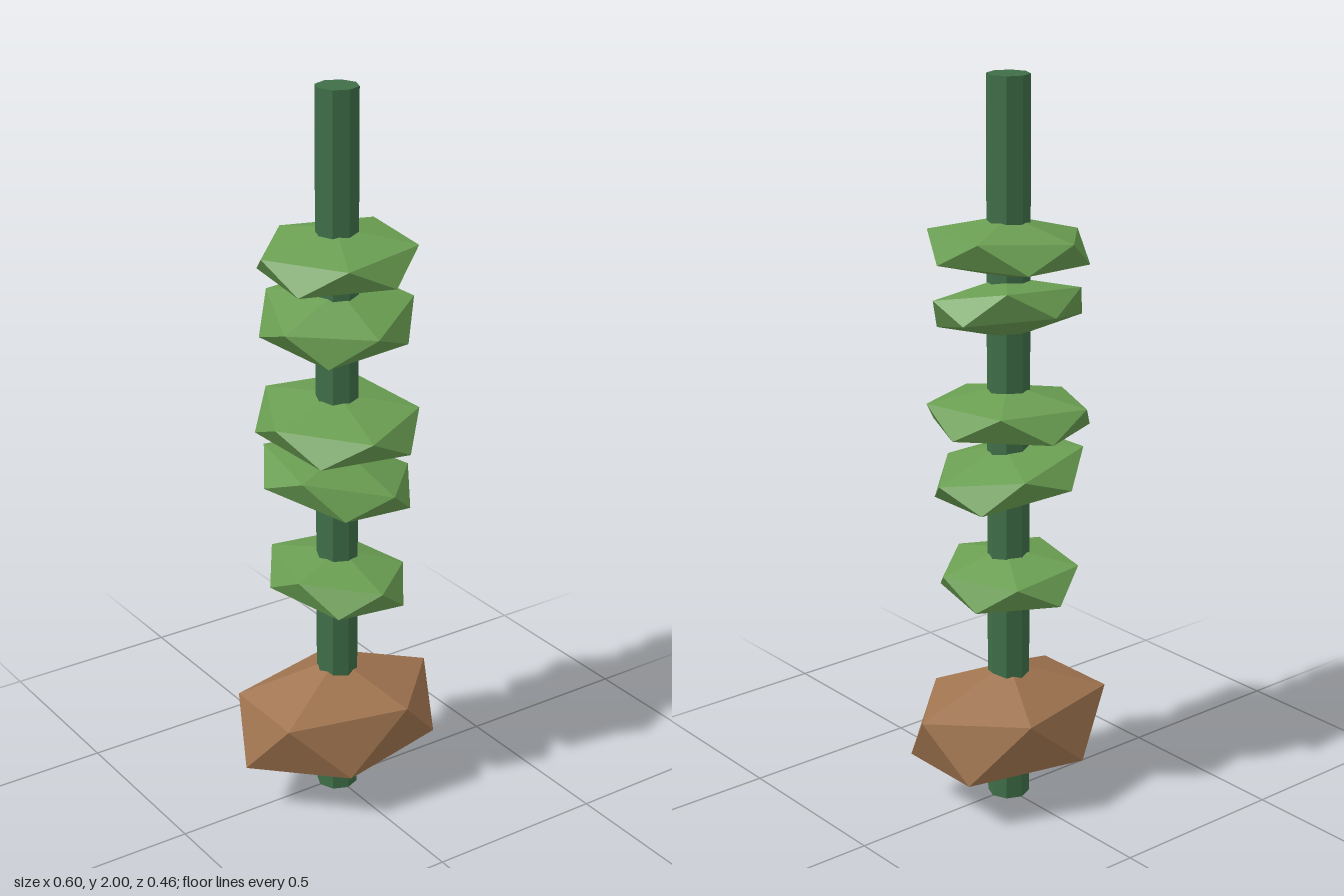
import * as THREE from 'three';

const stemGreen = new THREE.MeshStandardMaterial({ name: 'stemGreen', color: 0x3f6e48, flatShading: true });
const leafGreen = new THREE.MeshStandardMaterial({ name: 'leafGreen', color: 0x6a9e52, flatShading: true });
const earthBrown = new THREE.MeshStandardMaterial({ name: 'earthBrown', color: 0xa0744f, flatShading: true });

// Squashed icosahedron standing on a corner. rx and rz are the radii of its two
// five-cornered rings, turn (degrees) swings the upper ring from +x towards +z.
function gem(rx, ry, rz, turn) {
  const ring = 2 / Math.sqrt(5);
  const g = new THREE.IcosahedronGeometry(1, 0);
  g.rotateZ(Math.atan(2 / (1 + Math.sqrt(5))));
  g.rotateY(Math.PI - THREE.MathUtils.degToRad(turn));
  g.scale(rx / ring, ry, rz / ring);
  return g;
}

export function createModel() {
  const group = new THREE.Group();
  const add = (name, geometry, material, y) => {
    const mesh = new THREE.Mesh(geometry, material);
    mesh.name = name;
    mesh.position.y = y;
    group.add(mesh);
    return mesh;
  };

  // Straight eight-sided stalk
  add('stem', new THREE.CylinderGeometry(0.057, 0.057, 2, 8), stemGreen, 1);

  // Faceted lump around the foot of the stalk
  add('rootClump', gem(0.3, 0.174, 0.216, 0), earthBrown, 0.217);

  // Leaf whorls: height, ring radii, turn, slope along x, slope along z
  const whorls = [
    [0.648, 0.18, 0.21, 18, -0.09, -0.04],
    [0.943, 0.21, 0.21, 8, -0.18, -0.11],
    [1.105, 0.21, 0.235, 30, 0.035, -0.06],
    [1.395, 0.21, 0.187, 18, 0.08, -0.24],
    [1.556, 0.212, 0.212, 43.7, 0.06, -0.01],
  ];
  const up = new THREE.Vector3(0, 1, 0);
  whorls.forEach(([y, rx, rz, turn, slopeX, slopeZ], i) => {
    const whorl = add(`leafWhorl${i + 1}`, gem(rx, 0.08, rz, turn), leafGreen, y);
    whorl.quaternion.setFromUnitVectors(up, new THREE.Vector3(-slopeX, 1, -slopeZ).normalize());
  });

  return group;
}
